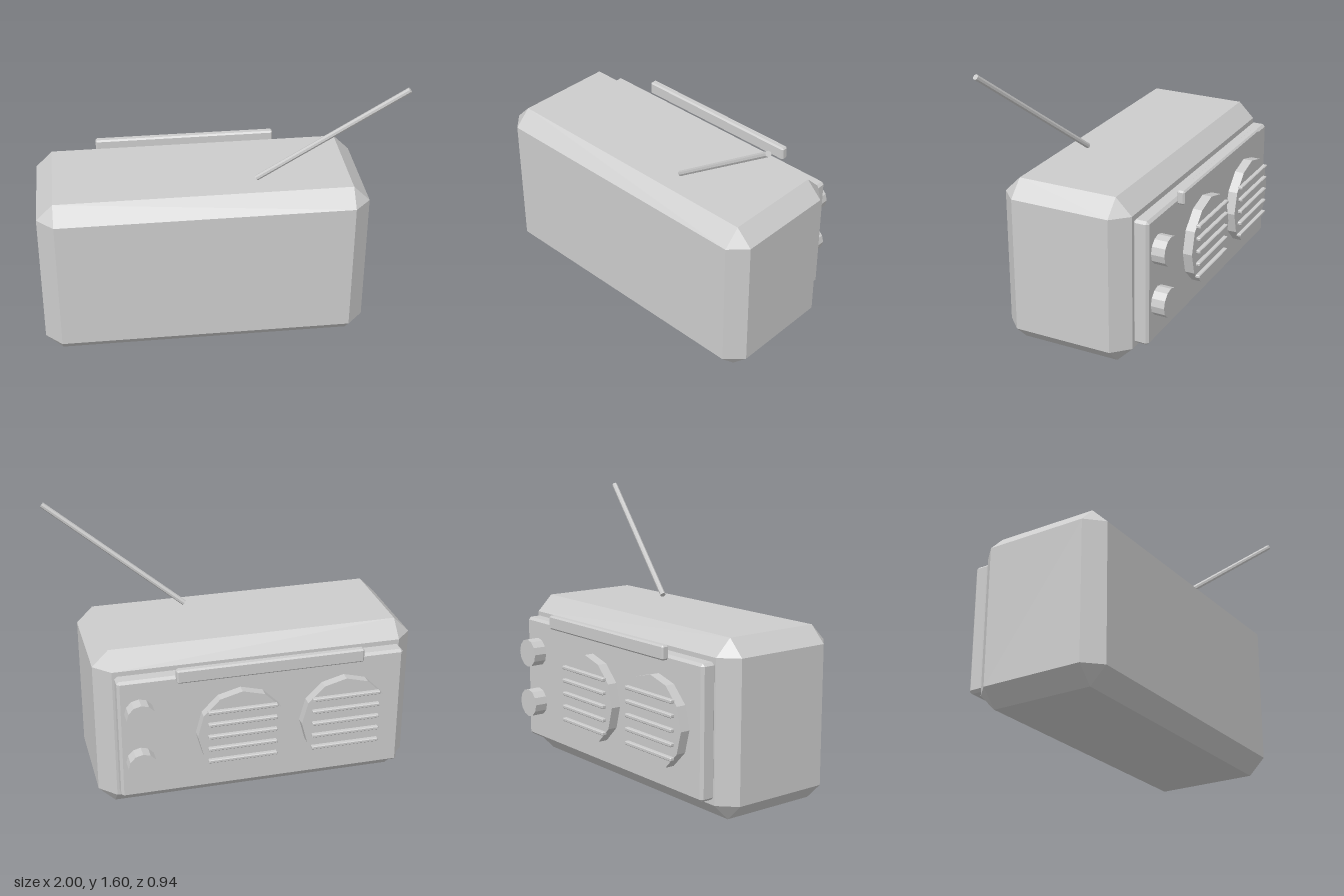
import * as THREE from 'three';
import { ConvexGeometry } from 'three/addons/geometries/ConvexGeometry.js';

// Box with one flat bevel on every edge, given by its bounds
function bevelBox(x0, x1, y0, y1, z0, z1, bevel) {
  const half = [(x1 - x0) / 2, (y1 - y0) / 2, (z1 - z0) / 2];
  const points = [];
  for (const sx of [-1, 1]) for (const sy of [-1, 1]) for (const sz of [-1, 1]) {
    for (let axis = 0; axis < 3; axis++) {
      const p = half.map((h, i) => (i === axis ? h : h - bevel));
      points.push(new THREE.Vector3(p[0] * sx, p[1] * sy, p[2] * sz));
    }
  }
  const geometry = new ConvexGeometry(points);
  geometry.translate((x0 + x1) / 2, (y0 + y1) / 2, (z0 + z1) / 2);
  return geometry;
}

// Faceted disc whose axis runs along z
function disc(x, y, z0, z1, radius) {
  const geometry = new THREE.CylinderGeometry(radius, radius, z1 - z0, 12);
  geometry.rotateX(Math.PI / 2);
  geometry.translate(x, y, (z0 + z1) / 2);
  return geometry;
}

export function createModel() {
  const group = new THREE.Group();
  group.name = 'radio';
  const grey = new THREE.MeshStandardMaterial({ color: 0xcccccc, flatShading: true });
  grey.name = 'light grey';

  const add = (name, geometry, parent = group) => {
    const mesh = new THREE.Mesh(geometry, grey);
    mesh.name = name;
    parent.add(mesh);
    return mesh;
  };

  // Case, control panel and carrying handle
  add('case', bevelBox(-1, 0.84, 0, 0.97, -0.3, 0.467, 0.093));
  add('controlPanel', bevelBox(-0.905, 0.735, 0.125, 0.855, -0.387, -0.295, 0.015));
  add('handle', bevelBox(-0.65, 0.415, 0.835, 0.915, -0.442, -0.397, 0.009));

  // Two speakers, each with five grille bars
  for (const x of [-0.55, 0.05]) {
    const speaker = new THREE.Group();
    speaker.name = 'speaker';
    group.add(speaker);
    add('speakerDisc', disc(x, 0.49, -0.443, -0.38, 0.255), speaker);
    for (let i = -2; i <= 2; i++) {
      const y = 0.487 + i * 0.077;
      add('grilleBar', bevelBox(x - 0.198, x + 0.198, y - 0.01, y + 0.01, -0.466, -0.437, 0.004), speaker);
    }
  }

  // Two knobs
  for (const y of [0.355, 0.66]) add('knob', disc(0.618, y, -0.465, -0.38, 0.083));

  // Slanted antenna
  const base = new THREE.Vector3(0.222, 0.99, 0.25);
  const tip = new THREE.Vector3(0.989, 1.592, 0.454);
  const along = tip.clone().sub(base);
  const antenna = add('antenna', new THREE.CylinderGeometry(0.016, 0.016, along.length(), 8));
  antenna.position.copy(base).add(tip).multiplyScalar(0.5);
  antenna.quaternion.setFromUnitVectors(new THREE.Vector3(0, 1, 0), along.normalize());

  return group;
}
